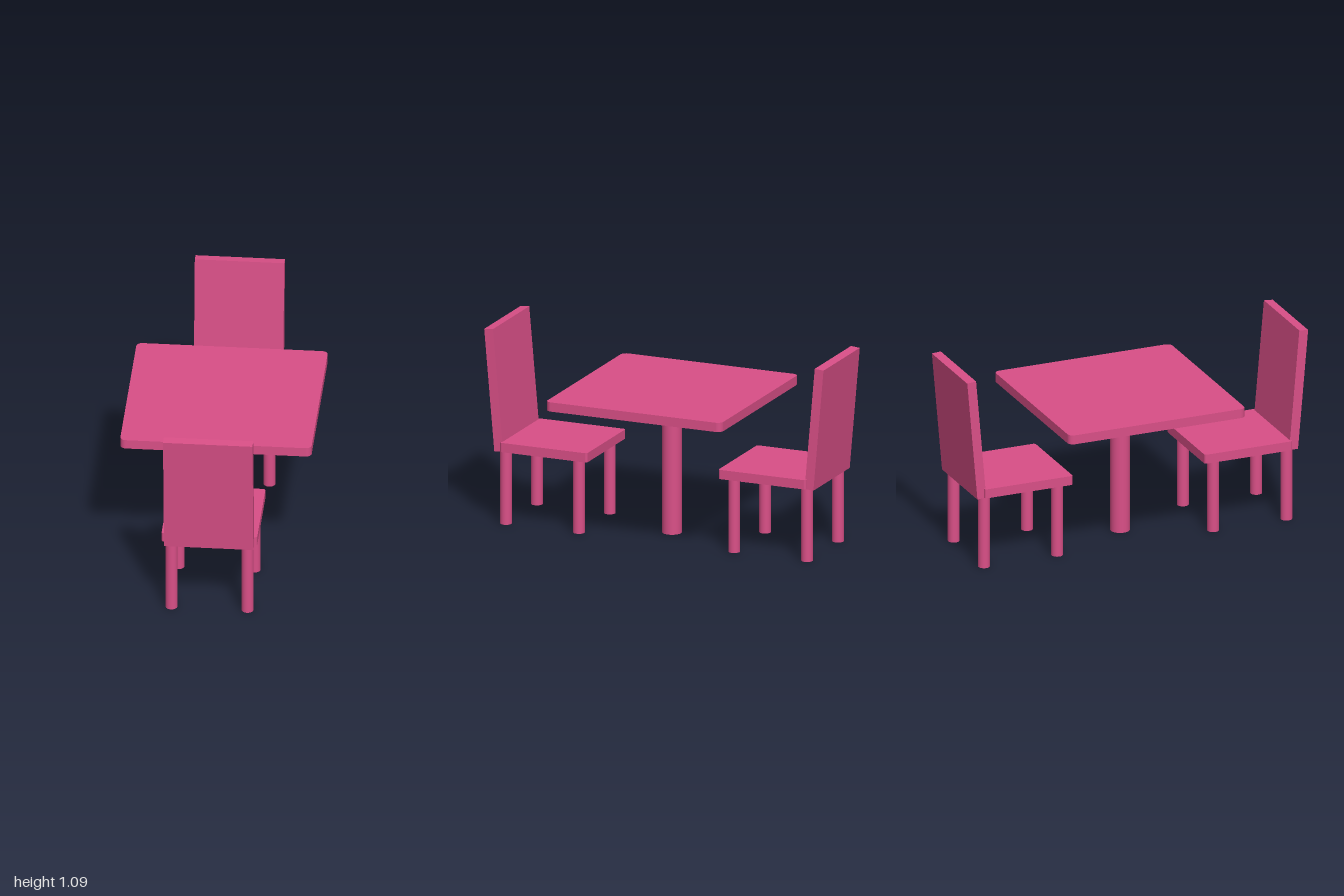
import * as THREE from 'three';

const material = new THREE.MeshStandardMaterial({ color: 0xd94f87 });

function addMesh(parent, name, geometry, x, y, z) {
  const mesh = new THREE.Mesh(geometry, material);
  mesh.name = name;
  mesh.position.set(x, y, z);
  parent.add(mesh);
  return mesh;
}

// Horizontal slab with rounded vertical corners, its underside at y = 0
function slab(width, depth, height, r) {
  const w = width / 2, d = depth / 2;
  const s = new THREE.Shape();
  s.moveTo(w, -d + r);
  s.absarc(w - r, d - r, r, 0, Math.PI / 2);
  s.absarc(-w + r, d - r, r, Math.PI / 2, Math.PI);
  s.absarc(-w + r, -d + r, r, Math.PI, Math.PI * 1.5);
  s.absarc(w - r, -d + r, r, Math.PI * 1.5, Math.PI * 2);
  const g = new THREE.ExtrudeGeometry(s, { depth: height, bevelEnabled: false, curveSegments: 8 });
  return g.rotateX(-Math.PI / 2);
}

function createTable() {
  const table = new THREE.Group();
  table.name = 'table';
  addMesh(table, 'tableTop', slab(1.036, 1.036, 0.052, 0.032), 0, 0.757, 0);
  addMesh(table, 'pedestal', new THREE.CylinderGeometry(0.053, 0.053, 0.757, 40), 0, 0.3785, 0);
  return table;
}

// Chair on the +z side, facing the table
function createChair(name) {
  const chair = new THREE.Group();
  chair.name = name;
  addMesh(chair, 'seat', slab(0.518, 0.516, 0.052, 0.013), 0, 0.413, 0.645);

  // Backrest leans away from the table
  const back = addMesh(chair, 'backrest', new THREE.BoxGeometry(0.484, 0.684, 0.052), 0, 0.75, 0.945);
  back.rotation.x = THREE.MathUtils.degToRad(5);

  for (const x of [-0.206, 0.206]) {
    for (const z of [0.458, 0.888]) {
      addMesh(chair, 'chairLeg', new THREE.CylinderGeometry(0.032, 0.032, 0.415, 32), x, 0.2075, z);
    }
  }
  return chair;
}

export function createModel() {
  const model = new THREE.Group();
  model.name = 'diningSet';
  const frontChair = createChair('frontChair');
  const backChair = createChair('backChair');
  backChair.rotation.y = Math.PI;
  model.add(createTable(), frontChair, backChair);
  return model;
}
